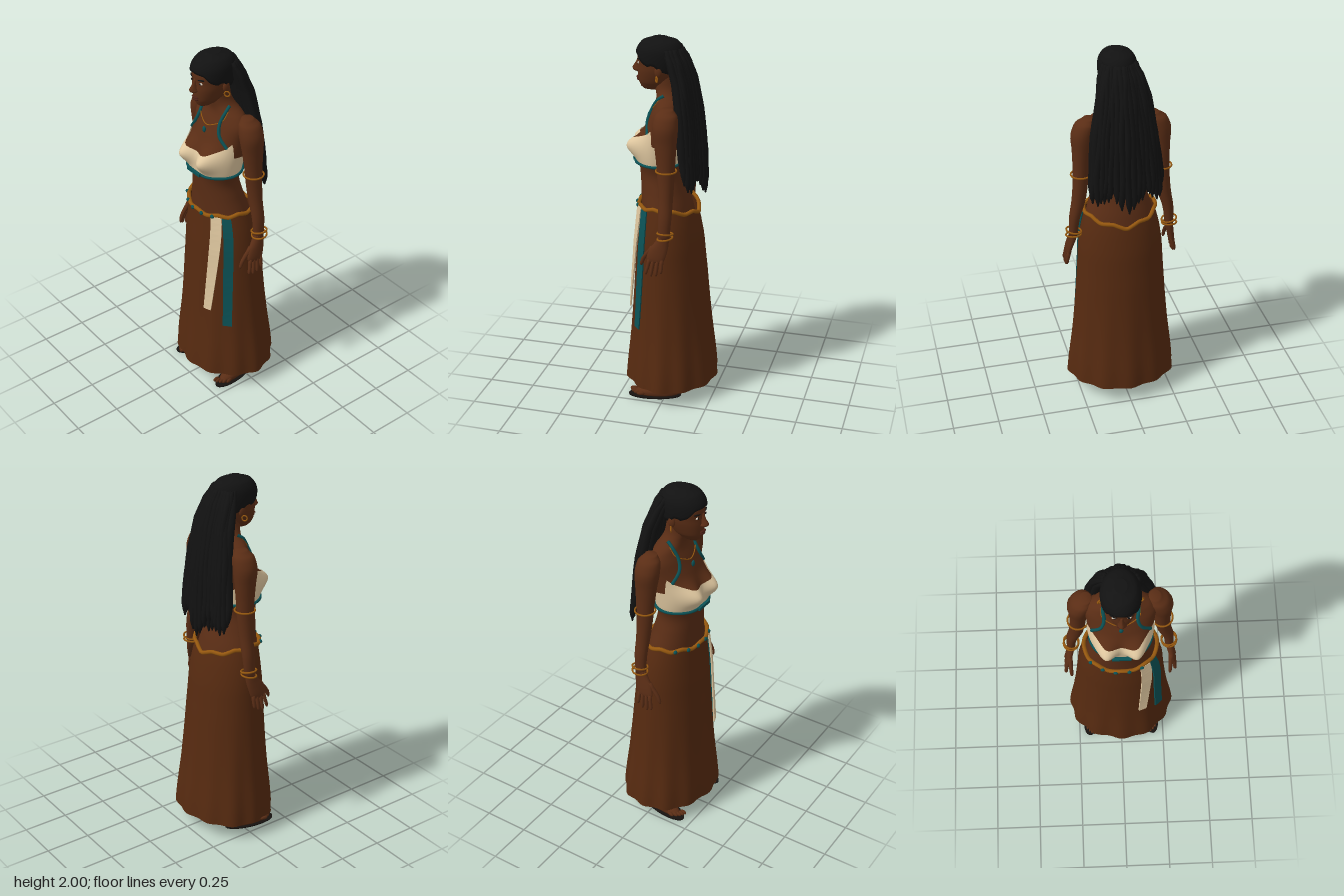
import * as THREE from 'three';

const mat = (name, color, side = THREE.FrontSide) => {
  const m = new THREE.MeshStandardMaterial({ color, side });
  m.name = name;
  return m;
};

// Smooth lookup in rows of [y, halfWidth, frontZ, backZ, centreX]
function between(rows, i, f) {
  const g = (k) => rows[Math.min(Math.max(k, 0), rows.length - 1)];
  const [p, q, r, s] = [g(i - 1), g(i), g(i + 1), g(i + 2)];
  return q.map((b, c) => {
    if (c === 0) return b + (r[0] - b) * f;
    const cubic = 3 * (b - r[c]) + s[c] - p[c];
    const square = 2 * p[c] - 5 * b + 4 * r[c] - s[c];
    return b + 0.5 * f * (r[c] - p[c] + f * (square + f * cubic));
  });
}
function at(rows, y) {
  let i = 0;
  while (i < rows.length - 2 && y > rows[i + 1][0]) i++;
  const f = (y - rows[i][0]) / (rows[i + 1][0] - rows[i][0]);
  return between(rows, i, Math.min(Math.max(f, 0), 1));
}
// Point on an oval row; angle 0 faces the front and grows towards +x
const oval = ([y, rx, zf, zb, xc = 0], a, off = 0) =>
  [xc + (rx + off) * Math.sin(a), y, (zf + zb) / 2 + ((zf - zb) / 2 + off) * Math.cos(a)];

// Closed ring grid; v runs upwards
function grid(n, m, fn, caps = true) {
  const pos = [], idx = [];
  for (let i = 0; i <= m; i++)
    for (let j = 0; j < n; j++) pos.push(...fn((j / n) * Math.PI * 2, i / m));
  for (let i = 0; i < m; i++)
    for (let j = 0; j < n; j++) {
      const a = i * n + j, b = i * n + (j + 1) % n;
      idx.push(a, b, b + n, a, b + n, a + n);
    }
  if (caps) for (const i of [0, m]) {
    const c = pos.length / 3, mid = [0, 0, 0];
    for (let j = 0; j < n; j++) for (let k = 0; k < 3; k++) mid[k] += pos[(i * n + j) * 3 + k] / n;
    pos.push(...mid);
    for (let j = 0; j < n; j++) {
      const p = i * n + j, q = i * n + (j + 1) % n;
      idx.push(c, ...(i ? [p, q] : [q, p]));
    }
  }
  const g = new THREE.BufferGeometry();
  g.setAttribute('position', new THREE.Float32BufferAttribute(pos, 3));
  g.setIndex(idx);
  g.computeVertexNormals();
  return g;
}
function loft(rows, n = 16, k = 4) {
  const m = (rows.length - 1) * k;
  return grid(n, m, (a, v) => {
    const s = Math.round(v * m), i = Math.min(Math.floor(s / k), rows.length - 2);
    return oval(between(rows, i, s / k - i), a);
  });
}
const lerpTable = (t, x) => {
  let i = 0;
  while (i < t.length - 2 && x > t[i + 1][0]) i++;
  return THREE.MathUtils.mapLinear(x, t[i][0], t[i + 1][0], t[i][1], t[i + 1][1]);
};
const fold = (a) => (a > Math.PI ? 2 * Math.PI - a : Math.abs(a));
const tube = (pts, r, closed = false) => new THREE.TubeGeometry(
  new THREE.CatmullRomCurve3(pts.map((p) => new THREE.Vector3(...p)), closed), pts.length * 6, r, 6, closed);

const bodyRows = [[1.0, .2, .16, -.12], [1.1, .178, .163, -.1], [1.2, .15, .167, -.07], [1.28, .135, .172, -.055],
  [1.36, .153, .176, -.06], [1.45, .165, .168, -.08], [1.55, .175, .135, -.088], [1.62, .18, .105, -.08],
  [1.67, .145, .085, -.062], [1.7, .085, .085, -.045], [1.74, .057, .095, -.03], [1.82, .052, .1, -.02]];
function body(y, a, off = 0) {
  const p = oval(at(bodyRows, y), a, off);
  const u = (Math.abs(p[0]) - .083) / .055, w = (y - 1.43) / .06;
  if (Math.cos(a) > 0) p[2] += .068 * Math.exp(-u * u - w * w);
  return p;
}
const skirtRows = [[.09, .298, .25, -.25], [.4, .266, .223, -.216], [.7, .242, .203, -.187], [.9, .229, .19, -.166],
  [1.0, .215, .18, -.147], [1.06, .2, .174, -.132], [1.13, .182, .168, -.112]];
function skirt(y, a, off = 0) {
  const w = Math.max(0, (1.0 - y) / .9), p = oval(at(skirtRows, y), a, off);
  const k = 1 + w * w * (.024 * Math.cos(12 * a) + .012 * Math.sin(5 * a));
  return [p[0] * k, y, p[2] * k];
}
const waist = (a) => lerpTable([[0, 1.1], [1.2, 1.115], [1.8, 1.115], [3.15, 1.065]], fold(a));
const headRows = [[1.722, .022, .155, .07], [1.735, .038, .17, .045], [1.765, .06, .182, .01], [1.82, .079, .186, -.022],
  [1.86, .086, .183, -.036], [1.9, .089, .186, -.043], [1.94, .084, .177, -.04], [1.972, .062, .148, -.015], [1.99, .02, .095, .04]];

export function createModel() {
  const skin = mat('skin', 0x5a2d15), cloth = mat('skirt brown', 0x562a10, THREE.DoubleSide);
  const cream = mat('cream cloth', 0xe0c8a0, THREE.DoubleSide), teal = mat('teal', 0x0b5256);
  const gold = mat('gold', 0x96580f), black = mat('black hair', 0x121212, THREE.DoubleSide);
  const sole = mat('dark sole', 0x17120f), lip = mat('lip', 0x4a2015), white = mat('eye white', 0xcfc6b8);
  const root = new THREE.Group();
  const add = (name, geo, m, pos = [0, 0, 0], scale = [1, 1, 1], parent = root) => {
    const mesh = new THREE.Mesh(geo, m);
    mesh.name = name;
    mesh.position.set(...pos);
    mesh.scale.set(...scale);
    parent.add(mesh);
    return mesh;
  };
  const ball = new THREE.SphereGeometry(1, 14, 10);
  const ring = (r, t) => new THREE.TorusGeometry(r, t, 6, 24).rotateX(Math.PI / 2);
  const loop = (n, fn) => Array.from({ length: n }, (_, i) => fn((i / n) * Math.PI * 2));

  // Torso, head and clothes
  add('torso', grid(48, 56, (a, v) => body(1 + .82 * v, a)), skin);
  add('head', loft(headRows, 28, 4), skin);
  add('skirt', grid(96, 24, (a, v) => skirt(.09 + (waist(a) - .09) * v, a), false), cloth);
  const neckline = [[0, 1.462], [.5, 1.475], [.95, 1.515], [1.15, 1.543], [1.4, 1.46], [3.15, 1.42]];
  add('bandeau', grid(72, 14, (a, v) => body(1.335 + (lerpTable(neckline, fold(a)) - 1.335) * v, a, .007), false), cream);
  add('bandeauTrim', tube(loop(32, (a) => body(1.343, a, .012)), .008, true), teal);
  add('bandeauClasp', new THREE.BoxGeometry(.1, .016, .012), teal, [0, 1.345, .198]);

  // Belt with beads
  add('belt', tube(loop(36, (a) => skirt(waist(a) + .006 * Math.cos(9 * a), a, .009)), .011, true), gold);
  for (const a of [-.9, -.5, -.15, .2, .55])
    add('beltBead', ball, teal, skirt(waist(a), a, .018), [.012, .011, .009]);

  // Hanging sashes following the skirt
  const sash = (y0, y1, aTop, aEnd, wTop, wEnd, off) => {
    const g = grid(4, 18, (u, v) => {
      const c = Math.round(u / (Math.PI / 2)), a = aEnd + (aTop - aEnd) * v, w = wEnd + (wTop - wEnd) * v;
      return skirt(y0 + (y1 - y0) * v, a + (c === 1 || c === 2 ? w : -w), c < 2 ? off + .008 : off);
    }).toNonIndexed();
    g.computeVertexNormals();
    return g;
  };
  add('creamSash', sash(.52, 1.105, .67, .45, .16, .085, .012), cream);
  add('tealSash', sash(.43, 1.1, .97, .9, .14, .1, .008), teal);

  // Necklace
  const chain = [[1.69, -1.1], [1.65, -.6], [1.615, -.25], [1.6, 0], [1.615, .25], [1.65, .6], [1.69, 1.1]];
  add('necklace', tube(chain.map(([y, a]) => body(y, a, .003)), .003), gold);
  add('pendant', ball, teal, body(1.575, 0, .006), [.011, .018, .008]);

  // Face
  add('nose', loft([[1.808, .008, .194, .165], [1.818, .021, .212, .165], [1.83, .016, .217, .165],
    [1.85, .01, .204, .165], [1.885, .007, .187, .165]], 10, 3), skin);
  add('upperLip', ball, lip, [0, 1.782, .184], [.025, .006, .01]);
  add('lowerLip', ball, lip, [0, 1.77, .182], [.021, .007, .011]);

  for (const s of [1, -1]) {
    const side = s > 0 ? 'left' : 'right';
    const rows = (list) => list.map(([y, r, f, b, x]) => [y, r, f, b, s * x]);
    add(side + 'Eye', ball, white, [s * .034, 1.866, .173], [.014, .006, .006]);
    add(side + 'Iris', ball, black, [s * .034, 1.866, .1775], [.006, .006, .003]);
    add(side + 'Brow', ball, black, [s * .037, 1.886, .174], [.021, .004, .006]).rotation.set(0, s * .35, s * .08);
    add(side + 'Ear', ball, skin, [s * .086, 1.835, .055], [.012, .03, .02]);
    add(side + 'Earring', new THREE.TorusGeometry(.014, .004, 6, 16), gold, [s * .1, 1.8, .06]).rotation.y = .6;
    const strap = [[1.71, 1.5], [1.69, .95], [1.63, .48], [1.575, .58], [1.515, 1.0]];
    add(side + 'Strap', tube(strap.map(([y, a]) => body(y, s * a, .004)), .009), teal);

    // Arm, hand and bangles
    add(side + 'Arm', loft(rows([[.99, .023, .008, -.052, .264], [1.1, .029, .01, -.06, .256], [1.2, .037, .014, -.062, .233],
      [1.3, .04, .022, -.066, .221], [1.4, .043, .03, -.07, .216], [1.5, .049, .042, -.076, .212], [1.58, .06, .052, -.08, .205],
      [1.64, .054, .045, -.072, .188], [1.672, .028, .018, -.045, .17]]), 18, 4), skin);
    add(side + 'Palm', loft(rows([[.868, .011, .06, -.025, .288], [.89, .015, .066, -.034, .286], [.94, .019, .05, -.046, .276],
      [.98, .022, .022, -.05, .267], [1.01, .023, .008, -.05, .263]]), 14, 3), skin);
    for (let i = 0; i < 4; i++) {
      const z = -.016 + i * .022, tip = [.812, .795, .79, .8][i], e = -.016 + i * .027;
      add(side + 'Finger', loft(rows([[tip, .004, e + .004, e - .004, .3], [tip + .01, .009, e + .008, e - .008, .299],
        [.84, .01, (z + e) / 2 + .01, (z + e) / 2 - .01, .296], [.885, .012, z + .011, z - .011, .287]]), 8, 2), skin);
    }
    add(side + 'Thumb', loft(rows([[.835, .004, .104, .096, .268], [.848, .009, .107, .087, .268], [.89, .011, .092, .066, .27],
      [.95, .013, .05, .012, .272]]), 8, 3), skin);
    add(side + 'Armband', ring(.053, .005), gold, [s * .217, 1.355, -.022]);
    add(side + 'Bangle', ring(.041, .005), gold, [s * .262, 1.025, -.028]).rotation.z = s * .2;
    add(side + 'Bangle', ring(.04, .005), gold, [s * .264, 1.0, -.028]).rotation.x = .15;

    // Leg, foot and sandal, turned outwards
    const foot = new THREE.Group();
    foot.name = side + 'Foot';
    foot.position.x = s * .152;
    foot.rotation.y = s * .2;
    root.add(foot);
    add('legAndFoot', loft([[.01, .042, .175, -.072, 0], [.03, .043, .17, -.074, 0], [.05, .036, .12, -.07, 0],
      [.075, .03, .06, -.06, 0], [.11, .03, .03, -.055, 0], [.25, .043, .04, -.075, -s * .01], [.42, .05, .05, -.06, -s * .02]],
    16, 3), skin, undefined, undefined, foot);
    for (let i = 0; i < 5; i++)
      add('toe', ball, skin, [s * (-.03 + i * .016), .022, .178 - i * i * .0025], [.0095 - i * .0005, .011, .022], foot);
    add('sandalSole', loft([[0, .055, .205, -.085], [.01, .055, .205, -.085]], 24, 1), sole, undefined, undefined, foot);
    add('sandalStrap', ring(.036, .005), sole, [0, .095, -.01], [1, 1, 1.3], foot);
  }

  // Hair cap shaped from the head, with a drawn-back hairline
  const hairline = [[0, 1.922], [.6, 1.915], [.95, 1.875], [1.25, 1.86], [1.5, 1.872], [1.8, 1.84], [3.15, 1.79]];
  add('hairCap', grid(40, 16, (a, v) => {
    const h = lerpTable(hairline, fold(a)), e = 1 - (1 - v) ** 2;
    const p = oval(at(headRows, h + (1.99 - h) * e), a, .011);
    return [p[0], p[1] + .01 * e, p[2]];
  }), black);

  // Two layers of long locks fanning down the back
  for (let layer = 0; layer < 2; layer++) {
    const count = 17 - layer * 4, spread = 1.25 - layer * .3;
    for (let i = 0; i < count; i++) {
      const f = ((i / (count - 1)) * 2 - 1) * spread, sn = Math.sin(f), cs = Math.cos(f);
      const wob = Math.sin(i * 5.3 + layer * 2), depth = layer * .032;
      const end = 1.17 + .05 * Math.abs(f) + .035 * (1 + wob) + layer * .02;
      const row = (y, x, zc, zr, r) => {
        const z = zc - zr * cs + depth + .006 * wob;
        return [y, r, z + r, z - r, x * sn + .005 * Math.sin(y * 17 + i * 2)];
      };
      add('hairLock', loft([row(end, .198, -.083, .088, .004), row(end + .05, .196, -.08, .088, .017),
        row(1.4, .186, -.07, .086, .022), row(1.6, .165, -.055, .084, .023), row(1.78, .132, -.025, .083, .022),
        row(1.89, .108, .012, .085, .019), row(1.95, .085, .035, .078, .012)], 7, 3), black);
    }
  }
  return root;
}
